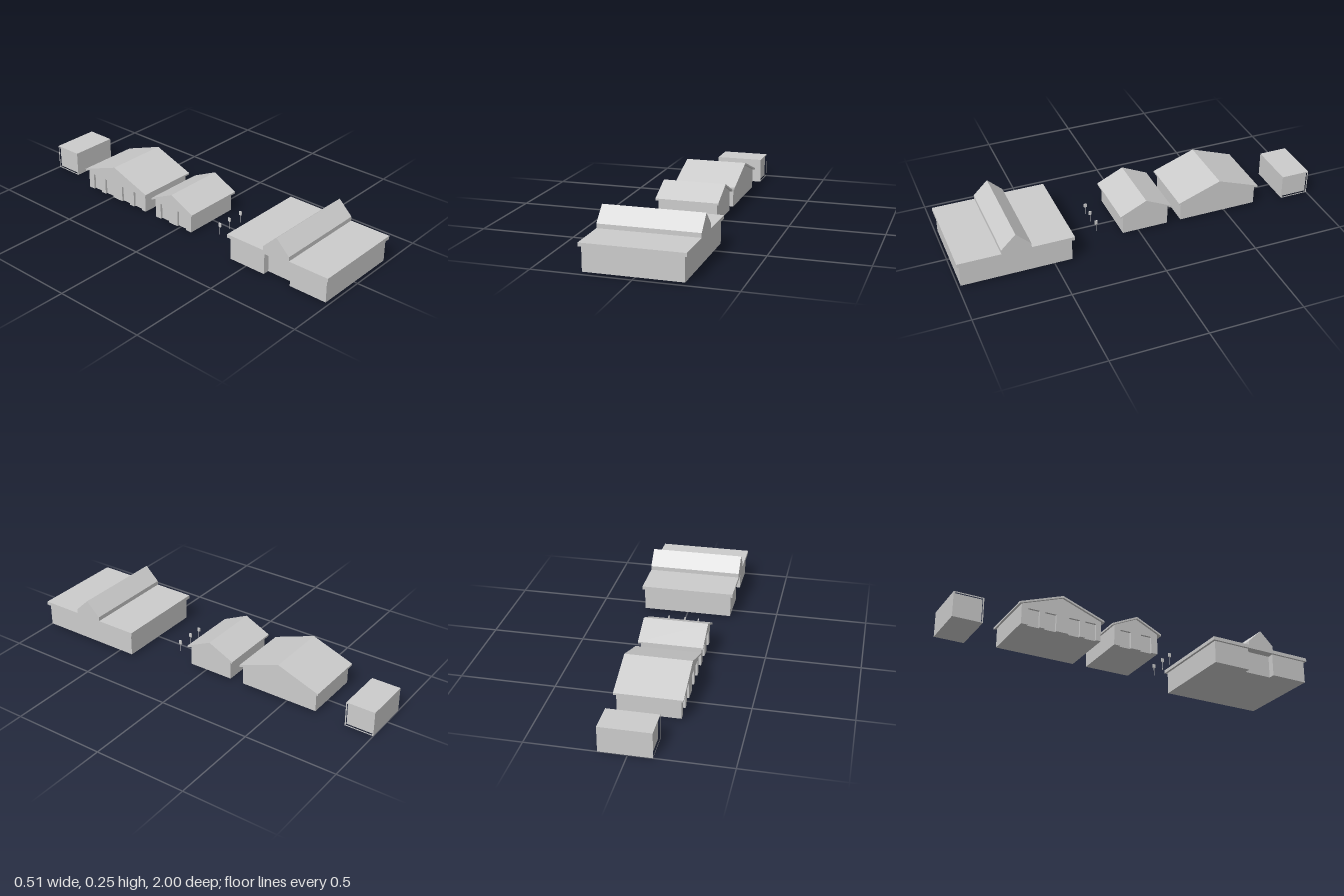
import * as THREE from 'three';

const concrete = new THREE.MeshStandardMaterial({ color: 0xcccccc });
concrete.name = 'pale grey';

function add(parent, name, geometry) {
  const mesh = new THREE.Mesh(geometry, concrete);
  mesh.name = name;
  parent.add(mesh);
  return mesh;
}

function box(x0, x1, y0, y1, z0, z1) {
  return new THREE.BoxGeometry(x1 - x0, y1 - y0, z1 - z0)
    .translate((x0 + x1) / 2, (y0 + y1) / 2, (z0 + z1) / 2);
}

// Side profile of [z, y] points swept along x
function sweepX(points, x0, x1, hole) {
  const toVec = ([z, y]) => new THREE.Vector2(-z, y);
  const shape = new THREE.Shape(points.map(toVec));
  if (hole) shape.holes.push(new THREE.Path(hole.map(toVec)));
  return new THREE.ExtrudeGeometry(shape, { depth: x1 - x0, bevelEnabled: false })
    .rotateY(Math.PI / 2).translate(x0, 0, 0);
}

// Rectangular floor plan with recesses cut into its -x side, raised along y
function notchedWalls(x0, x1, z0, z1, y0, y1, notches, depth) {
  const plan = [[x1, z0], [x1, z1], [x0, z1]];
  [...notches].sort((a, b) => b[0] - a[0]).forEach(([a, b]) => {
    plan.push([x0, b], [x0 + depth, b], [x0 + depth, a], [x0, a]);
  });
  plan.push([x0, z0]);
  const shape = new THREE.Shape(plan.map(([x, z]) => new THREE.Vector2(x, -z)));
  return new THREE.ExtrudeGeometry(shape, { depth: y1 - y0, bevelEnabled: false })
    .rotateX(-Math.PI / 2).translate(0, y0, 0);
}

const rect = (z0, z1, y0, y1) => [[z0, y0], [z1, y0], [z1, y1], [z0, y1]];

// Gabled shed with recessed doors on its -x side
function gabledShed(name, { ridgeZ, wallHalf, roofHalf, eaveY, peakY, doors }) {
  const shed = new THREE.Group();
  shed.name = name;
  const t = 0.01, doorTop = 0.1;
  const under = (d) => peakY - t - (peakY - eaveY) * d / roofHalf;
  add(shed, 'walls', notchedWalls(-0.185, 0.135, ridgeZ - wallHalf, ridgeZ + wallHalf, 0.01, doorTop,
    doors.map((d) => [ridgeZ + d - 0.03, ridgeZ + d + 0.03]), 0.012));
  add(shed, 'gable', sweepX([
    [ridgeZ - wallHalf, doorTop], [ridgeZ + wallHalf, doorTop],
    [ridgeZ + wallHalf, under(wallHalf)], [ridgeZ, under(0)], [ridgeZ - wallHalf, under(wallHalf)],
  ], -0.185, 0.135));
  add(shed, 'roof', sweepX([
    [ridgeZ - roofHalf, eaveY - t], [ridgeZ, peakY - t], [ridgeZ + roofHalf, eaveY - t],
    [ridgeZ + roofHalf, eaveY], [ridgeZ, peakY], [ridgeZ - roofHalf, eaveY],
  ], -0.197, 0.147));
  return shed;
}

export function createModel() {
  const model = new THREE.Group();
  model.name = 'buildingRow';

  // Main hall: flat roof, raised ridge, entrance recess on the -x side
  const hall = new THREE.Group();
  hall.name = 'mainHall';
  add(hall, 'walls', notchedWalls(-0.246, 0.245, 0.408, 0.988, 0.01, 0.133, [[0.62, 0.778]], 0.035));
  add(hall, 'flatRoof', box(-0.258, 0.257, 0.133, 0.152, 0.395, 1));
  add(hall, 'raisedRidge', sweepX([
    [0.62, 0.152], [0.775, 0.152], [0.775, 0.175], [0.698, 0.25], [0.62, 0.175],
  ], -0.258, 0.257));
  model.add(hall);

  // Two sheds behind the hall
  model.add(gabledShed('smallShed', {
    ridgeZ: -0.036, wallHalf: 0.126, roofHalf: 0.143, eaveY: 0.122, peakY: 0.19,
    doors: [-0.06, 0.06],
  }));
  model.add(gabledShed('largeShed', {
    ridgeZ: -0.456, wallHalf: 0.217, roofHalf: 0.232, eaveY: 0.122, peakY: 0.207,
    doors: [-0.15, -0.06, 0.07, 0.16],
  }));

  // Box store with shallow recessed ends
  const store = new THREE.Group();
  store.name = 'boxStore';
  const rim = 0.006;
  add(store, 'shell', sweepX(rect(-1, -0.843, 0, 0.135), -0.119, 0.143,
    rect(-1 + rim, -0.843 - rim, rim, 0.135 - rim)));
  add(store, 'endPanels', box(-0.11, 0.134, rim, 0.135 - rim, -1 + rim, -0.843 - rim));
  model.add(store);

  // Slim posts between the hall and the small shed
  [-0.1, -0.025, 0.065].forEach((x) => {
    const post = new THREE.Group();
    post.name = 'post';
    add(post, 'pole', new THREE.CylinderGeometry(0.0015, 0.0015, 0.06, 8).translate(0, 0.04, 0));
    add(post, 'head', box(-0.003, 0.003, 0.055, 0.076, -0.008, 0.008));
    post.position.set(x, 0, 0.214);
    model.add(post);
  });

  return model;
}
